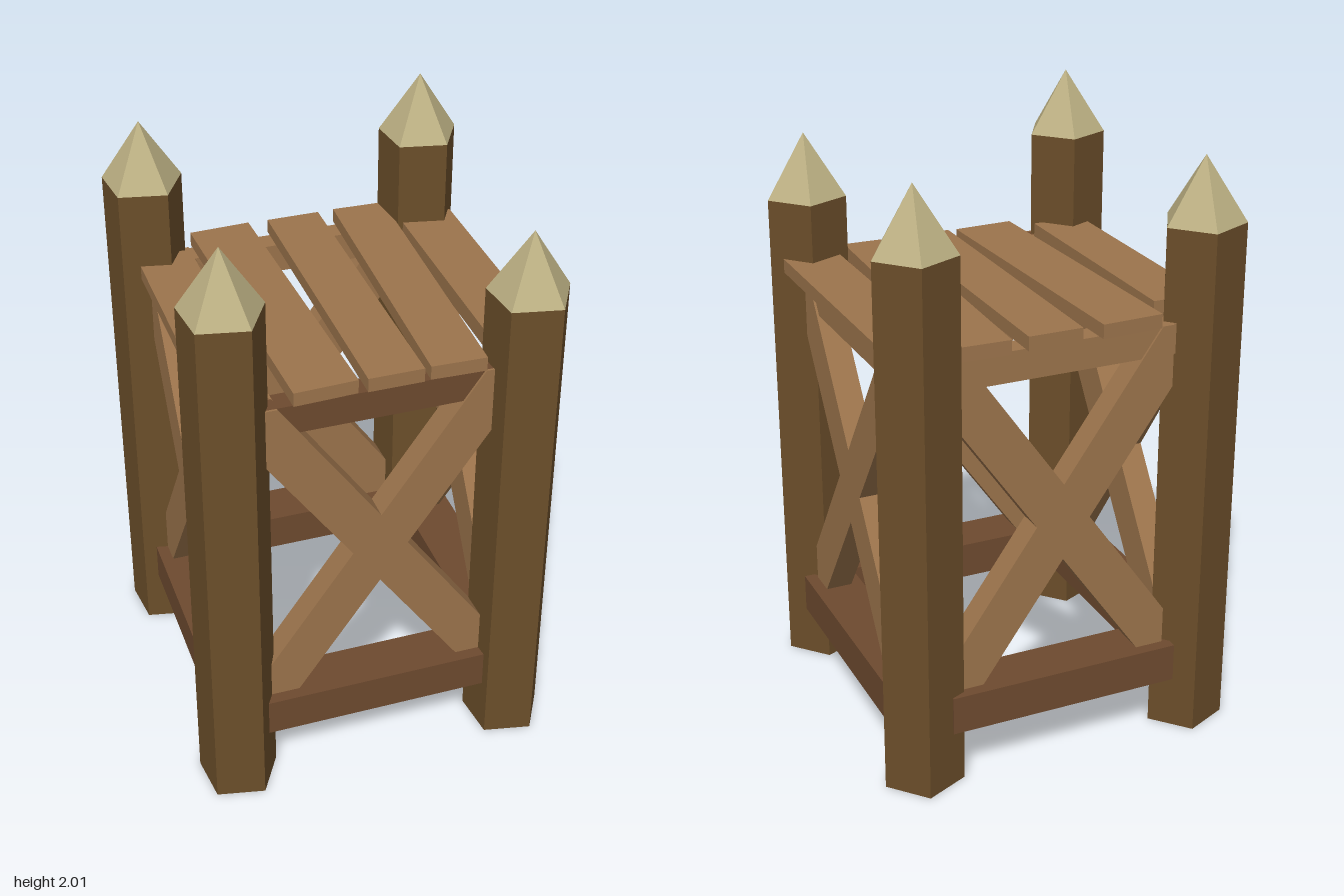
import * as THREE from 'three';

const mat = (color) => new THREE.MeshStandardMaterial({ color, flatShading: true });

export function createModel() {
  const model = new THREE.Group();
  const postMat = mat(0x6b4e2a), tipMat = mat(0xbcb083), plankMat = mat(0x9c744c), railMat = mat(0x6e4a2f);

  const add = (parent, name, geometry, material, x, y, z) => {
    const mesh = new THREE.Mesh(geometry, material);
    mesh.name = name;
    mesh.position.set(x, y, z);
    parent.add(mesh);
    return mesh;
  };

  // Five-sided corner posts with pointed tips: x, z, height of the shaft
  const posts = [
    [-0.486, 0.476, 1.795], [0.465, 0.476, 1.68],
    [-0.486, -0.474, 1.74], [0.465, -0.474, 1.768],
  ];
  const radius = 0.135, tipHeight = 0.21, turn = THREE.MathUtils.degToRad(24);
  for (const [x, z, h] of posts) {
    const post = new THREE.Group();
    post.name = 'cornerPost';
    post.position.set(x, 0, z);
    post.rotation.y = turn;
    model.add(post);
    add(post, 'postShaft', new THREE.CylinderGeometry(radius, radius, h, 5), postMat, 0, h / 2, 0);
    add(post, 'postTip', new THREE.ConeGeometry(radius, tipHeight, 5), tipMat, 0, h + tipHeight / 2, 0);
  }

  // Diagonal brace: slanted bar with upright ends, trimmed under the deck
  const braceGeometry = (dir) => {
    const hw = 0.37, slope = 1.42, half = 0.13, mid = 0.84, top = 1.44;
    const xTop = (top - mid - half) / slope;
    const points = [
      [-hw, mid - slope * hw - half], [hw, mid + slope * hw - half],
      [hw, top], [xTop, top], [-hw, mid - slope * hw + half],
    ].map(([x, y]) => new THREE.Vector2(x * dir, y));
    const depth = 0.09;
    return new THREE.ExtrudeGeometry(new THREE.Shape(points), { depth, bevelEnabled: false })
      .translate(0, 0, -depth / 2);
  };

  // Four sides: lower rail, crossed braces and upper rail
  const sides = [
    ['frontSide', 0, 0.447, 0, railMat],
    ['leftSide', 0.475, -0.015, Math.PI / 2, plankMat],
    ['backSide', 0, -0.483, Math.PI, plankMat],
    ['rightSide', -0.457, -0.015, -Math.PI / 2, plankMat],
  ];
  for (const [name, x, z, angle, upperMat] of sides) {
    const side = new THREE.Group();
    side.name = name;
    side.position.set(x, 0, z);
    side.rotation.y = angle;
    model.add(side);
    add(side, 'lowerRail', new THREE.BoxGeometry(0.79, 0.13, 0.17), railMat, 0, 0.255, 0);
    add(side, 'upperRail', new THREE.BoxGeometry(0.76, 0.1, 0.075), upperMat, 0, 1.39, 0);
    for (const dir of [1, -1]) add(side, 'crossBrace', braceGeometry(dir), plankMat, 0, 0, 0);
  }

  // Deck planks: centre x, centre z, width, length, twist
  const planks = [
    [-0.44, 0, 0.18, 0.86, 0],
    [-0.198, -0.028, 0.205, 1.03, 0.037],
    [0.042, -0.028, 0.18, 1.03, 0],
    [0.26, -0.028, 0.18, 1.03, -0.034],
    [0.474, 0.005, 0.185, 0.85, 0],
  ];
  for (const [x, z, width, length, twist] of planks) {
    const plank = add(model, 'deckPlank', new THREE.BoxGeometry(width, 0.047, length), plankMat, x, 1.463, z);
    plank.rotation.y = twist;
  }
  return model;
}
